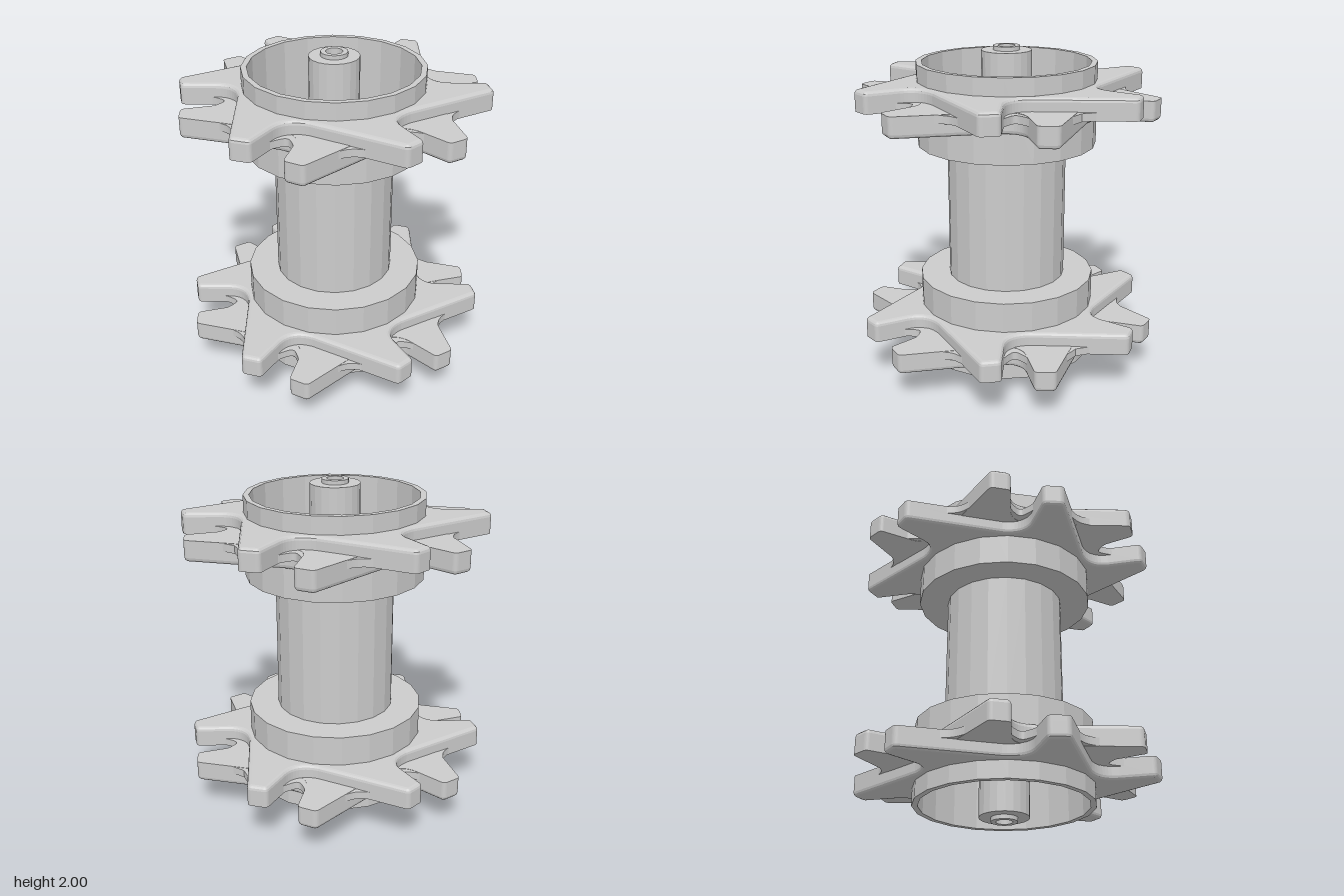
import * as THREE from 'three';

const material = new THREE.MeshStandardMaterial({ color: 0xcccccc, flatShading: true });
const SIDES = 20;

function part(name, geometry, y = 0) {
  const mesh = new THREE.Mesh(geometry, material);
  mesh.name = name;
  mesh.position.y = y;
  return mesh;
}

function lathe(points) {
  return new THREE.LatheGeometry(points.map(([r, y]) => new THREE.Vector2(r, y)), SIDES);
}

function cutHole(shape, x, y, r) {
  shape.holes.push(new THREE.Path().absarc(x, y, r, 0, Math.PI * 2, true));
}

// Extrudes a plan shape upwards from y = 0
function slab(shape, height, bevel = 0) {
  const geometry = new THREE.ExtrudeGeometry(shape, {
    depth: height - 2 * bevel, curveSegments: 10, bevelEnabled: bevel > 0,
    bevelThickness: bevel, bevelSize: bevel, bevelOffset: -bevel, bevelSegments: 3,
  });
  geometry.translate(0, 0, bevel);
  return geometry.rotateX(-Math.PI / 2);
}

// Ring of six swept teeth: a long straight back, a blunt tip and a hooked front
function toothShape() {
  const shape = new THREE.Shape();
  for (let i = 0; i < 6; i++) {
    const a = i * Math.PI / 3;
    const at = (x, y, t = a) => [x * Math.cos(t) - y * Math.sin(t), x * Math.sin(t) + y * Math.cos(t)];
    if (i === 0) shape.moveTo(...at(0.535, -0.2));
    shape.lineTo(...at(0.867, 0.245));
    shape.quadraticCurveTo(...at(0.883, 0.265), ...at(0.87, 0.285));
    shape.lineTo(...at(0.827, 0.345));
    shape.quadraticCurveTo(...at(0.812, 0.363), ...at(0.79, 0.353));
    shape.lineTo(...at(0.62, 0.285));
    shape.quadraticCurveTo(...at(0.51, 0.245), ...at(0.535, -0.2, a + Math.PI / 3));
  }
  cutHole(shape, 0, 0, 0.51);
  return shape;
}

// Thin web filling the valleys between the two rows of teeth
function webShape() {
  const points = [];
  for (let i = 0; i < 6; i++) {
    for (const [deg, r] of [[0, 0.72], [10, 0.77], [19.5, 0.83], [26, 0.68], [30, 0.64], [34, 0.68], [40.5, 0.83], [50, 0.77]]) {
      const a = (i * 60 + deg) * Math.PI / 180;
      points.push(new THREE.Vector2(r * Math.cos(a), r * Math.sin(a)));
    }
  }
  const shape = new THREE.Shape();
  shape.moveTo(points[0].x, points[0].y);
  shape.splineThru([...points.slice(1), points[0].clone()]);
  cutHole(shape, 0, 0, 0.525);
  return shape;
}

function toothRow(name) {
  const row = new THREE.Group();
  row.name = name;
  const shape = toothShape();
  row.add(part('toothBase', slab(shape, 0.037), -0.025));
  row.add(part('toothCap', slab(shape, 0.122, 0.025), -0.02));
  return row;
}

function createSprocket() {
  const sprocket = new THREE.Group();
  sprocket.name = 'sprocket';
  const lower = toothRow('lowerTeeth');
  lower.rotation.x = Math.PI;
  sprocket.add(toothRow('upperTeeth'), lower, part('web', slab(webShape(), 0.046), -0.023));
  return sprocket;
}

// Open drum with its boss, hollow axle end and drilled floor
function createHub() {
  const hub = new THREE.Group();
  hub.name = 'hub';
  hub.add(part('drum', lathe([[0, 0.42], [0.54, 0.42], [0.54, 0.91], [0.505, 0.91], [0.505, 0.43], [0, 0.43]])));
  hub.add(part('boss', lathe([[0.15, 0.43], [0.15, 0.975], [0.08, 0.975], [0.08, 1], [0.05, 1], [0.05, 0.9], [0, 0.9]])));
  const floor = new THREE.Shape().absarc(0, 0, 0.5, 0, Math.PI * 2);
  for (let i = 0; i < 4; i++) {
    const a = i * Math.PI / 2;
    cutHole(floor, 0.26 * Math.cos(a), 0.26 * Math.sin(a), 0.055);
  }
  hub.add(part('drilledFloor', slab(floor, 0.02), 0.43));
  return hub;
}

export function createModel() {
  const model = new THREE.Group();
  model.name = 'sprocketRoller';
  model.add(part('shaftTube', new THREE.CylinderGeometry(0.36, 0.36, 0.845, SIDES, 1, true), 1));

  // Hubs face outwards at each end, both sprockets turn the same way
  for (const end of [1, -1]) {
    const hub = createHub();
    hub.position.y = 1;
    if (end < 0) hub.rotation.x = Math.PI;
    const sprocket = createSprocket();
    sprocket.position.y = 1 + end * 0.704;
    model.add(hub, sprocket);
  }
  return model;
}
